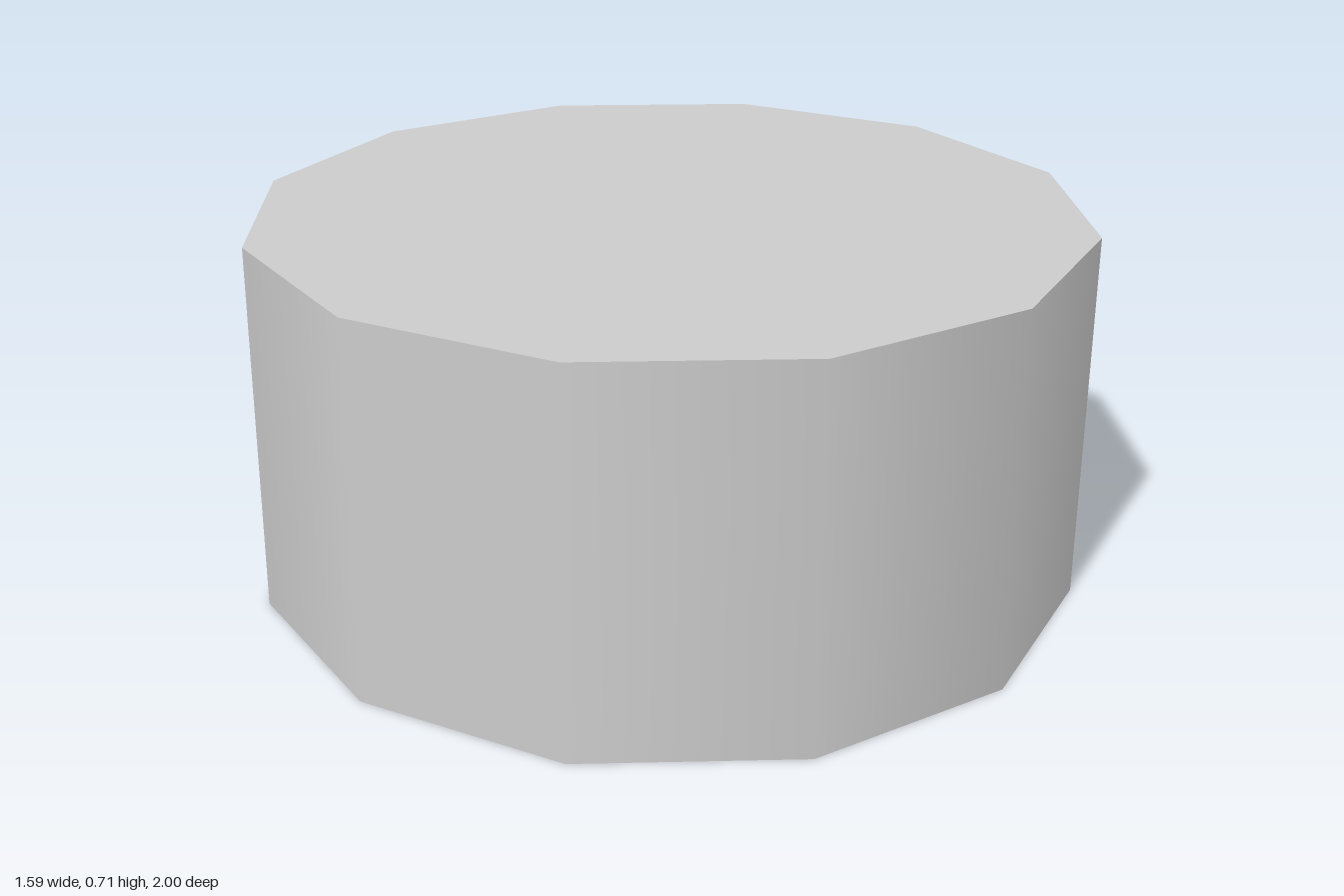
import * as THREE from 'three';
import { toCreasedNormals } from 'three/addons/utils/BufferGeometryUtils.js';

const material = new THREE.MeshStandardMaterial({ color: 0xcccccc });
const thin = new THREE.MeshStandardMaterial({ color: 0xcccccc, side: THREE.DoubleSide });

function addMesh(parent, name, geometry, mat = material) {
  const mesh = new THREE.Mesh(geometry, mat);
  mesh.name = name;
  parent.add(mesh);
  return mesh;
}

// Ten-sided turned part pointing backwards; profile is [radius, distance behind centre]
function turned(profile) {
  const points = profile.map(([r, d]) => new THREE.Vector2(r, d));
  const geometry = new THREE.LatheGeometry(points, 10).rotateX(-Math.PI / 2);
  return toCreasedNormals(geometry, 0.68);
}

export function createModel() {
  const model = new THREE.Group();
  model.name = 'cap';

  // Twelve-sided shell, open at the bottom
  const radius = 0.793, height = 0.712, sides = 12;
  const shell = new THREE.Group();
  shell.name = 'shell';
  shell.position.z = 0.205;
  model.add(shell);
  addMesh(shell, 'wall', new THREE.CylinderGeometry(radius, radius, height, sides, 1, true), thin)
    .position.y = height / 2;
  addMesh(shell, 'top', new THREE.CircleGeometry(radius, sides).rotateX(-Math.PI / 2), thin)
    .position.y = height;

  // Hollow spout with a thick base and a flared mouth
  addMesh(model, 'spout', turned([
    [0, 0.555], [0.116, 0.555], [0.116, 0.665], [0.095, 0.73], [0.095, 0.91],
    [0.112, 1.0], [0.082, 1.0], [0.07, 0.91], [0.07, 0.6], [0, 0.6],
  ])).position.y = 0.345;

  // Bevelled knob above the spout
  addMesh(model, 'knob', turned([
    [0, 0.555], [0.112, 0.555], [0.112, 0.612], [0.056, 0.665], [0, 0.665],
  ])).position.y = 0.562;

  return model;
}
